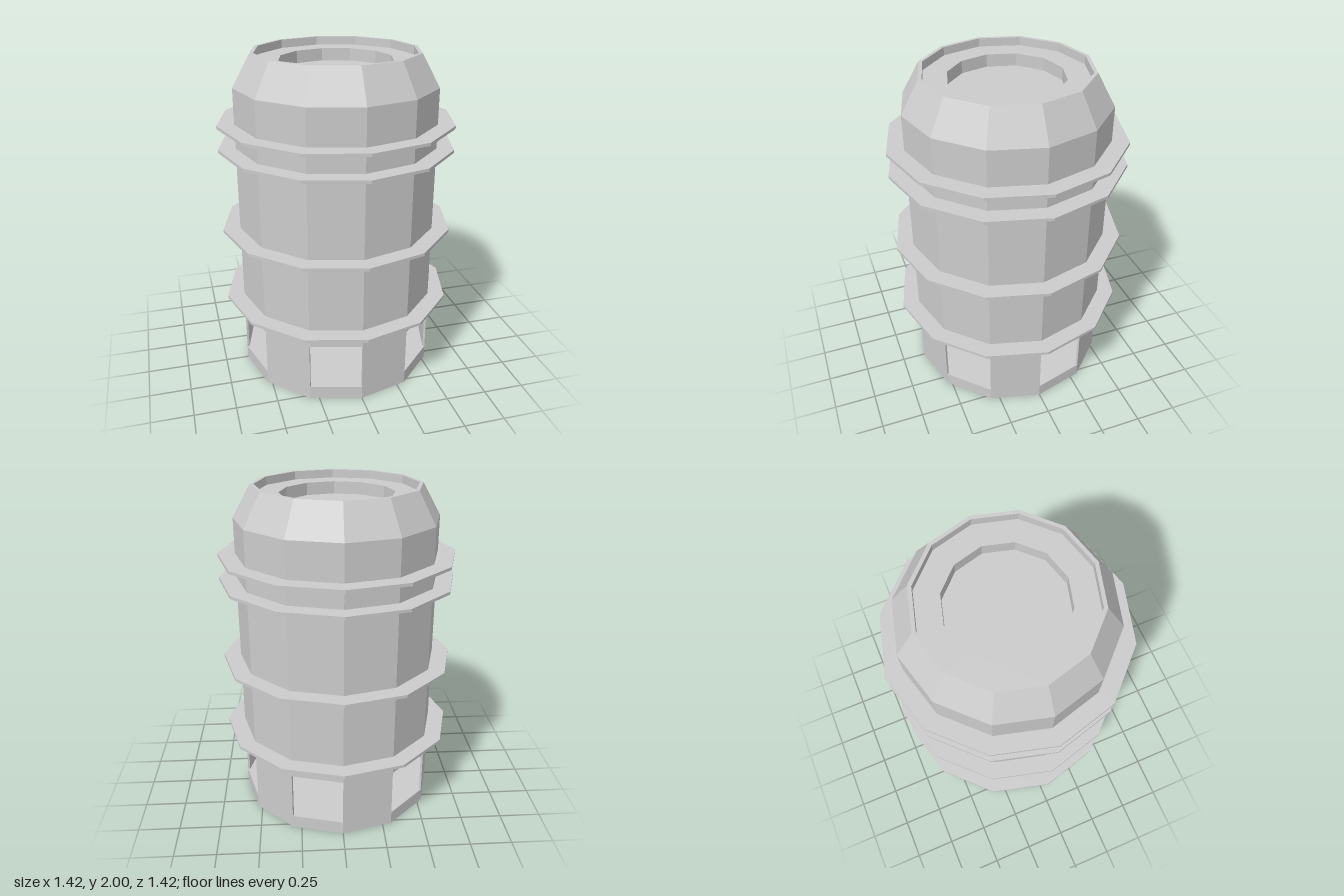
import * as THREE from 'three';

const SIDES = 12;
const R = 0.607; // outer radius
const WALL = 0.594; // inner radius of the wall around the openings
const SILL = 0.08, LINTEL = 0.37; // bottom and top of the openings

const material = new THREE.MeshStandardMaterial({ color: 0xcccccc, flatShading: true });

function add(group, name, geometry) {
  const mesh = new THREE.Mesh(geometry, material);
  mesh.name = name;
  group.add(mesh);
  return mesh;
}

// Twelve-sided solid of revolution from [radius, height] pairs
function turned(profile) {
  return new THREE.LatheGeometry(profile.map(([r, y]) => new THREE.Vector2(r, y)), SIDES);
}

export function createModel() {
  const model = new THREE.Group();
  model.name = 'tower';

  // Solid floor slab
  add(model, 'base', turned([[0, 0], [R, 0], [R, SILL], [0, SILL]]));

  // Closed drum with tapered shoulder and stepped recess in the top
  add(model, 'body', turned([
    [0, LINTEL], [R, LINTEL], [R, 1.81], [0.5, 2], [0.478, 2],
    [0.478, 1.95], [0.338, 1.95], [0.338, 1.875], [0, 1.875],
  ]));

  // Thin wall panels on every other side, leaving six openings
  const a0 = -Math.PI / 2, a1 = a0 + (2 * Math.PI) / SIDES;
  const at = (r, a) => new THREE.Vector2(r * Math.cos(a), r * Math.sin(a));
  const section = new THREE.Shape([at(R, a0), at(R, a1), at(WALL, a1), at(WALL, a0)]);
  const panel = new THREE.ExtrudeGeometry(section, { depth: LINTEL - SILL, bevelEnabled: false });
  panel.rotateX(-Math.PI / 2).translate(0, SILL, 0);
  const panels = new THREE.Group();
  panels.name = 'wallPanels';
  for (let i = 0; i < SIDES / 2; i++) {
    add(panels, 'wallPanel', panel).rotation.y = (i * 4 * Math.PI) / SIDES;
  }
  model.add(panels);

  // Projecting flat flanges
  const flange = turned([[R - 0.02, -0.009], [0.71, -0.009], [0.71, 0.009], [R - 0.02, 0.009]]);
  for (const y of [0.476, 0.936, 1.445, 1.589]) {
    add(model, 'flange', flange).position.y = y;
  }

  return model;
}
